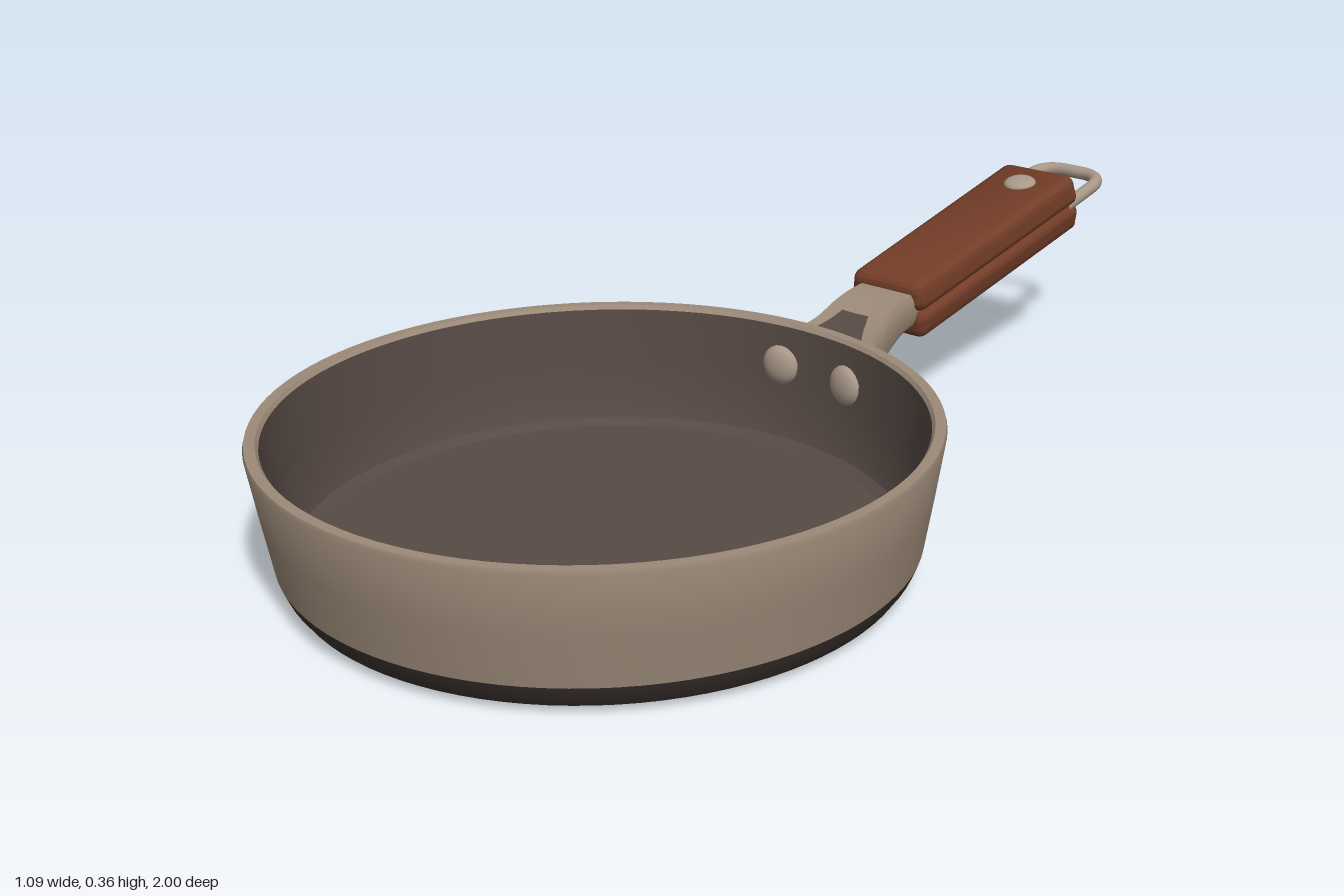
import * as THREE from 'three';
import { toCreasedNormals } from 'three/addons/utils/BufferGeometryUtils.js';
import { RoundedBoxGeometry } from 'three/addons/geometries/RoundedBoxGeometry.js';

const mat = (name, color, side = THREE.FrontSide) => {
  const m = new THREE.MeshStandardMaterial({ color, side });
  m.name = name;
  return m;
};

const PAN_Z = 0.45; // centre of the round pan

export function createModel() {
  const beige = mat('beige enamel', 0x9c8a78);
  const lining = mat('dark brown lining', 0x574a45, THREE.DoubleSide);
  const baseDark = mat('dark base', 0x3a322e);
  const wood = mat('reddish wood', 0x733d28);
  const metal = mat('warm metal', 0xa89888);

  const model = new THREE.Group();
  model.name = 'fryingPan';
  const add = (parent, name, geo, material) => {
    const m = new THREE.Mesh(geo, material);
    m.name = name;
    parent.add(m);
    return m;
  };

  // Pan body: one lathe for each colour, from the underside round to the floor
  const pan = new THREE.Group();
  pan.name = 'pan';
  pan.position.z = PAN_Z;
  model.add(pan);
  const lathe = (name, pts, material) => add(pan, name, toCreasedNormals(
    new THREE.LatheGeometry(pts.map(p => new THREE.Vector2(...p)), 96), 0.45), material);
  lathe('base', [[0, 0], [0.46, 0], [0.495, 0.013], [0.507, 0.03], [0.516, 0.052]], baseDark);
  lathe('outerWall', [[0.516, 0.052], [0.531, 0.14], [0.547, 0.24], [0.545, 0.247],
    [0.528, 0.247], [0.523, 0.24]], beige);
  lathe('interior', [[0.523, 0.24], [0.512, 0.14], [0.501, 0.065], [0.492, 0.043],
    [0.477, 0.032], [0, 0.03]], lining);

  // Domed rivet head facing +y
  const dome = (r, h) => new THREE.SphereGeometry(r, 24, 8, 0, Math.PI * 2, 0, Math.PI / 2)
    .scale(1, h / r, 1);

  // Rivets on the inside of the wall
  for (const x of [-0.04, 0.11]) {
    const r = add(pan, 'wallRivet', dome(0.036, 0.018), metal);
    const a = Math.asin(x / 0.515);
    r.position.set(x, 0.17, -0.515 * Math.cos(a));
    r.rotation.set(Math.PI / 2, 0, a);
  }

  // Neck: sections of z, top, bottom, half width, dish depth
  const sections = [
    [-0.08, 0.216, 0.08, 0.13, 0.02],
    [-0.11, 0.209, 0.082, 0.122, 0.018],
    [-0.15, 0.203, 0.093, 0.096, 0.014],
    [-0.20, 0.217, 0.125, 0.073, 0.008],
    [-0.25, 0.238, 0.157, 0.065, 0.002],
    [-0.30, 0.248, 0.182, 0.062, 0],
    [-0.38, 0.252, 0.195, 0.06, 0],
  ];
  const heights = new THREE.CatmullRomCurve3(sections.map(s => new THREE.Vector3(s[0], s[1], s[2])));
  const widths = new THREE.CatmullRomCurve3(sections.map(s => new THREE.Vector3(s[3], s[4], 0)));
  const N = 30;
  const us = Array.from({ length: 13 }, (_, i) => i / 6 - 1);
  // The first row follows the round wall
  const place = (row, x, y, z) => [x, y,
    row === 0 ? PAN_Z - Math.sqrt((0.5 + 0.15 * y) ** 2 - x * x) : z];

  const rowAt = i => {
    const a = heights.getPoint(i / N), b = widths.getPoint(i / N);
    const hw = b.x, dish = Math.max(0, b.y);
    return {
      z: a.x, hw,
      top: u => a.y - dish * (1 - u * u),
      bottom: u => a.z + 0.5 * dish * (1 - u * u),
    };
  };

  // Joins equal rows of points into a surface
  const skin = (rows, closed) => {
    const n = rows[0].length, index = [];
    for (let i = 0; i < rows.length - 1; i++) {
      for (let j = 0; j < (closed ? n : n - 1); j++) {
        const k = (j + 1) % n, a = i * n + j, b = i * n + k;
        index.push(a, b, a + n, b, b + n, a + n);
      }
    }
    const g = new THREE.BufferGeometry();
    g.setAttribute('position', new THREE.Float32BufferAttribute(rows.flat(2), 3));
    g.setIndex(index);
    g.computeVertexNormals();
    return g;
  };

  const neckRows = [];
  for (let i = 0; i <= N; i++) {
    const s = rowAt(i), k = 0.9;
    neckRows.push([
      ...us.map(u => place(i, u * k * s.hw, s.top(u * k), s.z)),
      place(i, s.hw, s.top(1) - 0.013, s.z),
      place(i, s.hw, s.bottom(1) + 0.013, s.z),
      ...us.map(u => place(i, -u * k * s.hw, s.bottom(u * k), s.z)),
      place(i, -s.hw, s.bottom(1) + 0.013, s.z),
      place(i, -s.hw, s.top(1) - 0.013, s.z),
    ]);
  }
  add(model, 'neck', toCreasedNormals(skin(neckRows, true), 0.9), beige);

  // Dark hollows above and below the root of the neck
  const hollow = (name, side, last, offset) => {
    const rows = [];
    for (let i = 0; i <= last; i++) {
      const s = rowAt(i), k = 0.85 - 0.42 * (i / last) ** 2;
      const v = side === 'top' ? 1 : -1;
      rows.push(us.map(u => place(i, v * u * k * s.hw, s[side](u * k) + offset, s.z)));
    }
    add(model, name, skin(rows, false), lining);
  };
  hollow('upperHollow', 'top', 18, 0.003);
  hollow('lowerHollow', 'bottom', 13, -0.003);

  // Grip: two wooden halves with a seam, tilted up towards the back
  const grip = new THREE.Group();
  grip.name = 'grip';
  grip.position.set(-0.004, 0.261, -0.607);
  grip.rotation.x = 0.17;
  model.add(grip);
  for (const s of [1, -1]) {
    const g = new RoundedBoxGeometry(0.17, 0.058, 0.56, 4, 0.02);
    const p = g.attributes.position;
    for (let i = 0; i < p.count; i++) {
      const x = p.getX(i), y = p.getY(i) * s, z = p.getZ(i);
      // wider at the back, narrower on the outer face, rounded back corners
      const back = Math.max(0, (-z - 0.2) / 0.08);
      p.setX(i, x * (1 - 0.18 * z) * (y > 0 ? 0.96 : 1.01));
      p.setZ(i, z + (back > 0 ? 0.02 * Math.min(1, back) * (x / 0.085) ** 2 : 0));
    }
    g.computeVertexNormals();
    const half = add(grip, s > 0 ? 'upperGrip' : 'lowerGrip', toCreasedNormals(g, 0.9), wood);
    half.position.y = s * 0.0275;

    const rivet = add(grip, 'gripRivet', dome(0.032, 0.013), metal);
    rivet.position.set(0, s * 0.0555, -0.187);
    if (s < 0) rivet.rotation.x = Math.PI;
  }

  // Hanging loop
  const w = 0.073, end = -0.387, r = 0.055;
  const loop = new THREE.CurvePath();
  const v = (x, z) => new THREE.Vector3(x, 0, z);
  loop.add(new THREE.LineCurve3(v(-w, -0.23), v(-w, end + r)));
  loop.add(new THREE.QuadraticBezierCurve3(v(-w, end + r), v(-w, end), v(-w + r, end)));
  loop.add(new THREE.LineCurve3(v(-w + r, end), v(w - r, end)));
  loop.add(new THREE.QuadraticBezierCurve3(v(w - r, end), v(w, end), v(w, end + r)));
  loop.add(new THREE.LineCurve3(v(w, end + r), v(w, -0.23)));
  add(grip, 'hangingLoop', new THREE.TubeGeometry(loop, 64, 0.013, 12), metal);

  return model;
}
